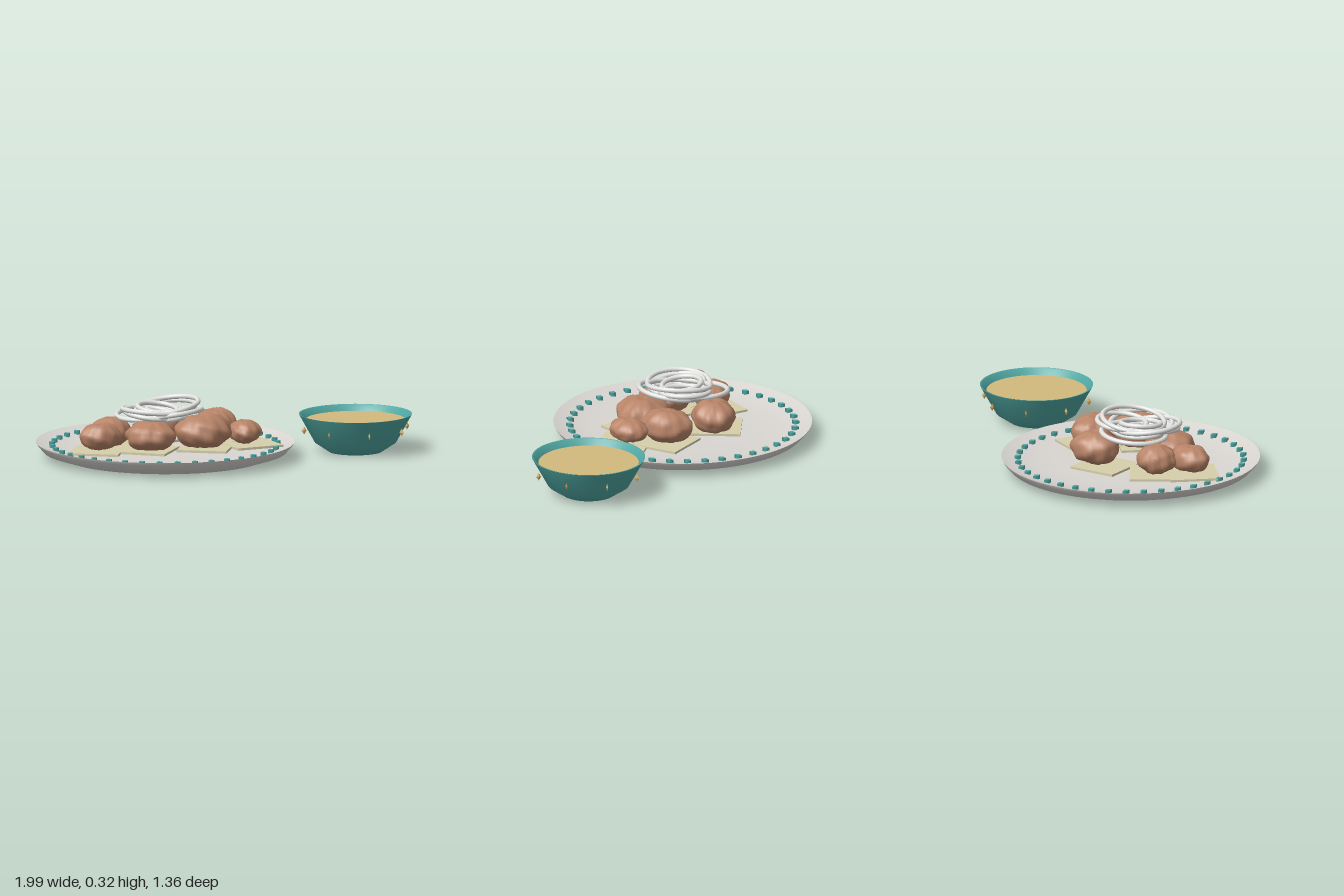
import * as THREE from 'three';
import { mergeVertices } from 'three/addons/utils/BufferGeometryUtils.js';

const mat = (name, color, side = THREE.FrontSide) => {
  const m = new THREE.MeshStandardMaterial({ color, side });
  m.name = name;
  return m;
};

const lathe = (pts, segments = 72) =>
  new THREE.LatheGeometry(pts.map(([r, y]) => new THREE.Vector2(r, y)), segments);

// Lumpy pleated ball with a pinched top
function dumplingGeometry(seed) {
  const g = new THREE.SphereGeometry(1, 36, 22);
  g.deleteAttribute('uv');
  g.deleteAttribute('normal');
  const p = g.attributes.position, v = new THREE.Vector3();
  for (let i = 0; i < p.count; i++) {
    v.fromBufferAttribute(p, i);
    const rho = Math.hypot(v.x, v.z), a = Math.atan2(v.z, v.x);
    const lump = 0.035 * Math.sin(4.1 * v.x + seed) * Math.cos(3.7 * v.z - seed)
      + 0.025 * Math.sin(7 * v.y + 5 * v.x + 2 * seed)
      + 0.02 * Math.sin(9 * v.z - 6 * v.x + seed);
    const pleat = 0.035 * rho * Math.sin(9 * a + seed + 2 * v.y);
    v.multiplyScalar(1 + lump + pleat);
    v.y -= Math.sign(v.y) * 0.14 * Math.exp(-((rho / 0.16) ** 2));
    p.setXYZ(i, v.x, v.y, v.z);
  }
  const merged = mergeVertices(g, 1e-4);
  merged.computeVertexNormals();
  return merged;
}

export function createModel() {
  const root = new THREE.Group();
  const white = mat('plate white', 0xd9d6d2);
  const teal = mat('teal glaze', 0x4fa6a1);
  const gold = mat('gold', 0xd2ac62);
  const broth = mat('sauce yellow', 0xd2ba7c);
  const brown = mat('fried brown', 0xb88468);
  const paper = mat('pale wrapper', 0xd6cfab);
  const onion = mat('onion white', 0xe2e2e0);

  const add = (parent, name, geometry, material, x = 0, y = 0, z = 0) => {
    const m = new THREE.Mesh(geometry, material);
    m.name = name;
    m.position.set(x, y, z);
    parent.add(m);
    return m;
  };
  const group = (name, x, z) => {
    const g = new THREE.Group();
    g.name = name;
    g.position.set(x, 0, z);
    root.add(g);
    return g;
  };

  // Plate, with separate outside and inside for a crisp rim
  const plate = group('plate', -0.32, 0);
  add(plate, 'plateUnderside', lathe([[0, 0], [0.53, 0], [0.64, 0.035], [0.672, 0.07], [0.68, 0.085]], 96), white);
  add(plate, 'plateTop', lathe([[0.68, 0.085], [0.665, 0.08], [0.6, 0.06], [0.5, 0.045], [0.36, 0.04], [0, 0.04]], 96), white);

  // Diamond studs around the plate
  const stud = new THREE.CylinderGeometry(1, 1, 0.022, 4);
  stud.scale(0.016, 1, 0.021);
  for (let i = 0; i < 40; i++) {
    const a = i * Math.PI / 20;
    add(plate, 'plateStud', stud, teal, 0.595 * Math.cos(a), 0.067, 0.595 * Math.sin(a));
  }

  // Square wrappers: x, z, turn
  const sheet = new THREE.BoxGeometry(0.265, 0.012, 0.265);
  [
    [-0.35, -0.18, 0.39], [-0.61, -0.04, -0.6], [-0.72, 0.12, -0.45], [-0.46, 0.17, -0.57],
    [-0.15, 0.19, -0.44], [0.1, 0.145, 0.2], [0, -0.05, -0.1],
  ].forEach(([x, z, turn], i) => {
    add(root, 'wrapper', sheet, paper, x, 0.068 + i * 0.0015, z).rotation.y = turn;
  });

  // Fried dumplings: x, y, z, then radii and turn
  [
    [-0.61, 0.145, -0.03, 0.105, 0.078, 0.1, 0.4],
    [-0.705, 0.148, 0.118, 0.113, 0.072, 0.088, 0.3],
    [-0.44, 0.148, 0.165, 0.13, 0.082, 0.132, 1.1],
    [-0.155, 0.157, 0.155, 0.15, 0.092, 0.138, 0.2],
    [0.078, 0.142, 0.132, 0.085, 0.062, 0.11, -0.3],
    [-0.037, 0.155, -0.035, 0.112, 0.088, 0.14, 0],
    [-0.28, 0.155, -0.195, 0.128, 0.09, 0.112, 0.5],
  ].forEach(([x, y, z, rx, ry, rz, turn], i) => {
    const d = add(root, 'dumpling', dumplingGeometry(1.7 * i + 0.6), brown, x, y, z);
    d.scale.set(rx, ry, rz);
    d.rotation.y = turn;
  });

  // Pile of onion rings: x, y, z, radius, tilt about x, tilt about z
  const pile = group('onionRings', 0, 0);
  [
    [-0.4, 0.235, -0.035, 0.17, 0.04, 0.08],
    [-0.4, 0.26, 0.06, 0.165, -0.06, -0.1],
    [-0.31, 0.245, 0.07, 0.165, -0.12, 0.12],
    [-0.315, 0.28, 0.02, 0.165, 0.04, 0.16],
    [-0.42, 0.25, 0.07, 0.135, 0.08, -0.1],
    [-0.28, 0.265, -0.03, 0.13, 0.05, 0.1],
    [-0.355, 0.225, 0.08, 0.115, -0.05, 0.05],
    [-0.37, 0.27, 0.03, 0.105, 0.1, -0.08],
    [-0.33, 0.235, 0.05, 0.1, 0.05, 0.08],
  ].forEach(([x, y, z, r, tx, tz]) => {
    const ring = new THREE.TorusGeometry(r, 0.013, 10, 48);
    ring.rotateX(Math.PI / 2);
    add(pile, 'onionRing', ring, onion, x, y, z).rotation.set(tx, 0, tz);
  });

  // Sauce bowl
  const bowl = group('sauceBowl', 0.695, 0.08);
  add(bowl, 'bowlOutside', lathe([[0, 0], [0.14, 0], [0.215, 0.05], [0.298, 0.2]]), teal);
  add(bowl, 'bowlInside', lathe([[0.298, 0.2], [0.288, 0.199], [0.262, 0.165], [0.2, 0.06], [0, 0.02]]), teal);
  const sauce = new THREE.CircleGeometry(0.266, 64);
  sauce.rotateX(-Math.PI / 2);
  add(bowl, 'sauce', sauce, broth, 0, 0.168, 0);

  // Gold diamonds around the bowl
  const gem = new THREE.OctahedronGeometry(1);
  gem.scale(0.0135, 0.021, 0.0065);
  for (let i = 0; i < 8; i++) {
    const a = i * Math.PI / 4;
    add(bowl, 'bowlGem', gem, gold, 0.28 * Math.cos(a), 0.122, 0.28 * Math.sin(a)).rotation.y = -a;
  }

  return root;
}
